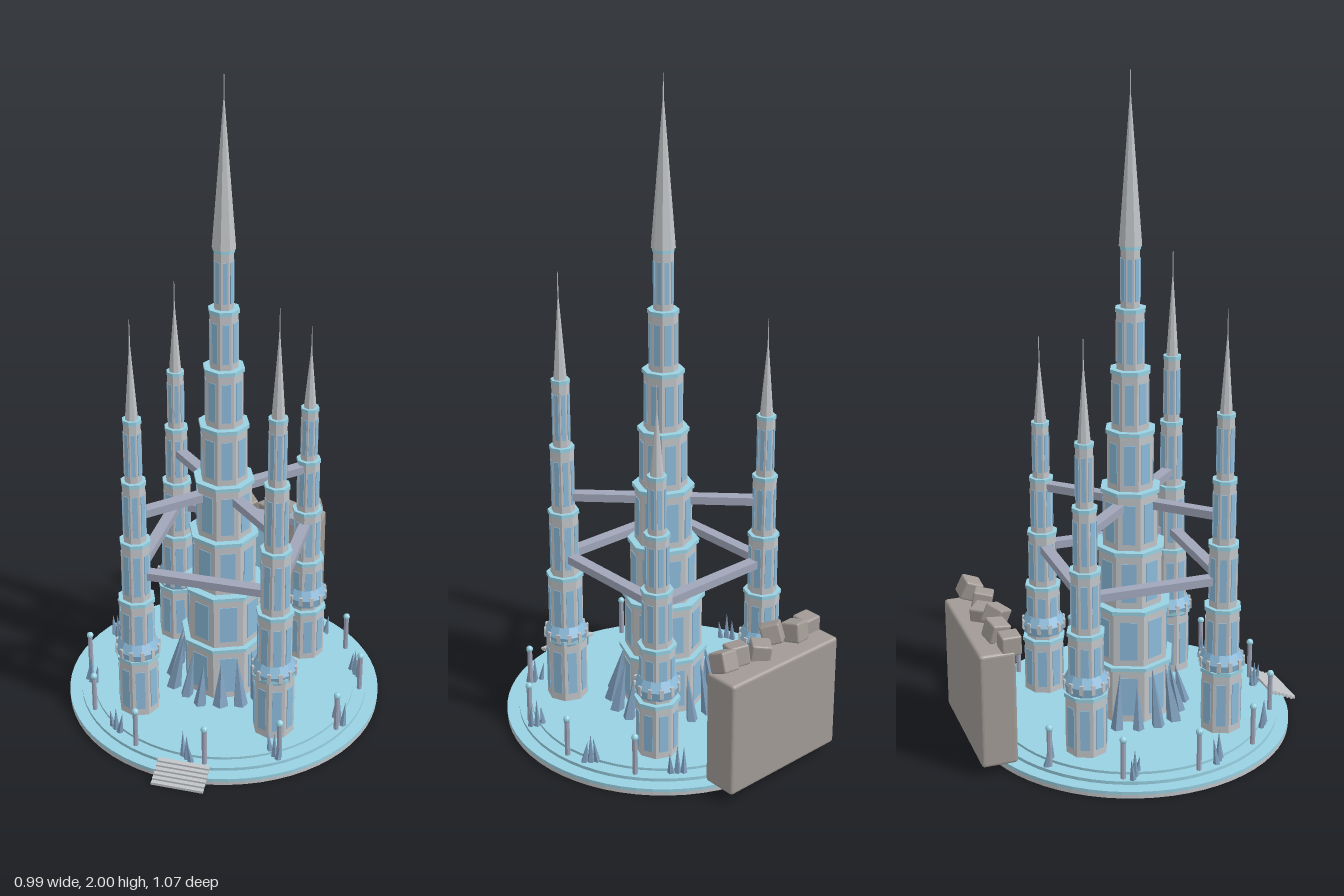
import * as THREE from 'three';
import { RoundedBoxGeometry } from 'three/addons/geometries/RoundedBoxGeometry.js';

const mat = (name, color) => {
  const m = new THREE.MeshStandardMaterial({ color, flatShading: true });
  m.name = name;
  return m;
};

export function createModel() {
  const model = new THREE.Group();
  const stone = mat('pale stone', 0xc2c5c8);
  const glass = mat('blue glass', 0x8cbbdb);
  const aqua = mat('aqua', 0x99d1e2);
  const beamGrey = mat('beam grey', 0xa0a6ba);
  const crystalBlue = mat('crystal blue', 0x7d9dbb);
  const rock = mat('rock', 0xa19a95);
  const water = mat('water', 0x96c9e2);

  let seed = 7;
  const rnd = () => (seed = (seed * 16807) % 2147483647) / 2147483647;

  const add = (parent, name, geo, material, x = 0, y = 0, z = 0) => {
    const m = new THREE.Mesh(geo, material);
    m.name = name;
    m.position.set(x, y, z);
    parent.add(m);
    return m;
  };
  const group = (name) => {
    const g = new THREE.Group();
    g.name = name;
    model.add(g);
    return g;
  };
  const cyl = (rt, rb, h, n = 8) => new THREE.CylinderGeometry(rt, rb, h, n);
  // Box standing at radius r and angle a, facing outward
  const radialBox = (parent, name, w, h, d, material, r, y, a) => {
    const m = add(parent, name, new THREE.BoxGeometry(w, h, d), material, r * Math.sin(a), y, r * Math.cos(a));
    m.rotation.y = a;
  };

  // Round stepped plaza
  add(model, 'plazaUnderside', cyl(0.495, 0.495, 0.012, 64), stone, 0, 0.006);
  [[0.496, 0.012, 0.022], [0.457, 0.022, 0.032], [0.417, 0.032, 0.04]].forEach(([r, y0, y1], i) =>
    add(model, `plazaTier${i + 1}`, cyl(r, r, y1 - y0, 64), aqua, 0, (y0 + y1) / 2));

  // Entrance steps
  const steps = group('entranceSteps');
  for (let i = 0; i < 6; i++)
    add(steps, 'step', new THREE.BoxGeometry(0.16, 0.008, 0.016), stone, 0, 0.006 + i * 0.006, 0.527 - i * 0.0135);

  // Tapering octagonal tower: stacked tiers with glazed faces, rims, spire and needle
  const tower = (name, x, z, radii, top, spireR, spireTop, tip) => {
    const g = group(name);
    g.position.set(x, 0, z);
    const h = (top - 0.04) / radii.length;
    radii.forEach((r, i) => {
      const y = 0.04 + (i + 0.5) * h;
      add(g, 'tier', cyl(r, r, h), stone, 0, y);
      const side = 2 * r * Math.sin(Math.PI / 8), apothem = r * Math.cos(Math.PI / 8);
      for (let k = 0; k < 8; k++)
        radialBox(g, 'window', side * 0.58, h * 0.68, 0.004, glass, apothem, y - h * 0.04, (k + 0.5) * Math.PI / 4);
      add(g, 'rim', cyl(r * 1.08, r * 1.08, 0.012), aqua, 0, y + h / 2 - 0.004);
    });
    add(g, 'spire', cyl(0.002, spireR, spireTop - top), stone, 0, (top + spireTop) / 2);
    add(g, 'needle', cyl(0.001, 0.003, tip - spireTop + 0.08, 6), stone, 0, (spireTop - 0.08 + tip) / 2);
    return g;
  };
  tower('centralTower', 0, 0, [0.128, 0.12, 0.102, 0.088, 0.073, 0.059, 0.044, 0.03], 1.505, 0.036, 1.93, 2);

  // Four corner towers of differing height, each with a ribbed collar
  const c = 0.216;
  [[1, 1, 1.10, 1.43], [-1, 1, 1.04, 1.35], [-1, -1, 1.0, 1.3], [1, -1, 0.93, 1.2]].forEach(([sx, sz, top, tip]) => {
    const t = tower('cornerTower', sx * c, sz * c, [0.064, 0.054, 0.045, 0.036, 0.027], top, 0.02, tip - 0.08, tip);
    add(t, 'collarFlare', cyl(0.07, 0.062, 0.03, 12), glass, 0, 0.25);
    add(t, 'collarTop', cyl(0.054, 0.07, 0.03, 12), glass, 0, 0.28);
    for (let k = 0; k < 12; k++)
      radialBox(t, 'collarRib', 0.012, 0.03, 0.006, stone, 0.067, 0.262, k * Math.PI / 6);
  });

  // Skybridges: square of lower beams, upper diagonals to the centre
  const bridges = group('skybridges');
  for (let k = 0; k < 4; k++) {
    const a = k * Math.PI / 2;
    radialBox(bridges, 'outerBridge', 0.36, 0.025, 0.035, beamGrey, c, 0.525, a);
    radialBox(bridges, 'diagonalBridge', 0.035, 0.025, 0.21, beamGrey, 0.185, 0.725, a + Math.PI / 4);
  }

  // Crystals leaning against the central tower
  const crystal = (parent, r, h, x, y, z, angle, tilt) => {
    const geo = new THREE.ConeGeometry(r, h, 5);
    geo.translate(0, h / 2, 0);
    const m = add(parent, 'crystal', geo, crystalBlue, x, y, z);
    m.rotation.order = 'YXZ';
    m.rotation.set(tilt, angle, 0);
  };
  const ring = group('crystalRing');
  for (let i = 0; i < 16; i++) {
    const a = (i + 0.5) * Math.PI / 8, r = 0.155 + 0.025 * rnd();
    crystal(ring, 0.018 + 0.009 * rnd(), 0.12 + 0.07 * rnd(), r * Math.sin(a), 0.036, r * Math.cos(a), a, -0.2);
  }

  // Small crystal clusters near the rim
  const clusters = group('rimCrystals');
  for (let i = 0; i < 10; i++) {
    const a = i * Math.PI / 5;
    for (let j = -1; j <= 1; j++)
      crystal(clusters, 0.011, 0.075 - 0.02 * Math.abs(j) + 0.03 * rnd(),
        0.425 * Math.sin(a) + j * 0.015, 0.03, 0.425 * Math.cos(a) + j * 0.012, rnd() * 6, 0.15 * j);
  }

  // Lamp posts
  const lamps = group('lampPosts');
  for (let i = 0; i < 12; i++) {
    const a = (i * 30 + 7.5) * Math.PI / 180, x = 0.437 * Math.sin(a), z = 0.437 * Math.cos(a);
    add(lamps, 'post', cyl(0.008, 0.008, 0.125, 8), beamGrey, x, 0.092, z);
    add(lamps, 'lamp', new THREE.SphereGeometry(0.011, 12, 8), aqua, x, 0.155, z);
  }

  // Cliff behind the plaza with boulders and a waterfall
  const cliff = group('cliff');
  add(cliff, 'cliffWall', new RoundedBoxGeometry(0.43, 0.36, 0.11, 2, 0.01), rock, 0, 0.21, -0.481);
  add(cliff, 'waterfall', new THREE.BoxGeometry(0.2, 0.35, 0.008), water, 0, 0.21, -0.424);
  [[-0.182, -0.437, 0.01], [-0.112, -0.457, 0.25], [-0.037, -0.437, 0.7],
    [0.035, -0.46, -0.65], [0.11, -0.44, -0.35], [0.182, -0.462, 0.1]].forEach(([x, z, turn], i) => {
    const s = 0.06;
    const b = add(cliff, 'boulder', new RoundedBoxGeometry(s, s, s, 2, 0.006), rock, x, 0.405 + 0.012 * (i % 3), z);
    b.rotation.set(0.2 * (i % 3), turn, 0.12 * (i % 2));
  });
  return model;
}
